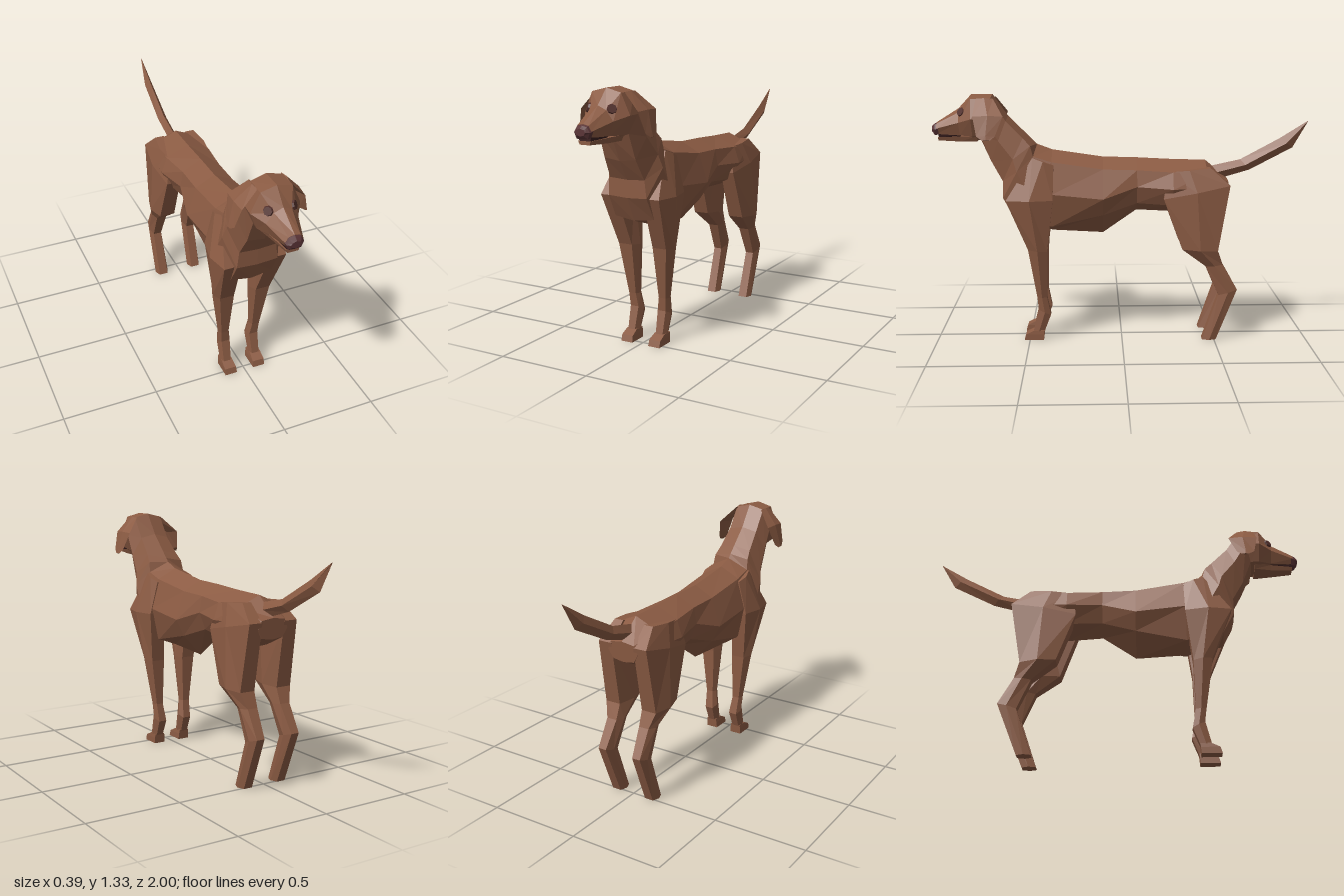
import * as THREE from 'three';

const coat = new THREE.MeshStandardMaterial({ name: 'brown coat', color: 0x8b5b43, flatShading: true });
const noseMat = new THREE.MeshStandardMaterial({ name: 'dark nose', color: 0x5a3436, flatShading: true });
const eyeMat = new THREE.MeshStandardMaterial({ name: 'dark eye', color: 0x54302c, flatShading: true });
const mouthMat = new THREE.MeshStandardMaterial({ name: 'mouth lining', color: 0x3c2120, flatShading: true });

// Skin a row of closed rings of [x, y, z] points, cap both ends, face outwards
function loft(name, rings, material) {
  const tris = [];
  const n = rings[0].length;
  for (let i = 0; i + 1 < rings.length; i++) {
    for (let j = 0; j < n; j++) {
      const k = (j + 1) % n;
      const [a, b, c, d] = [rings[i][j], rings[i][k], rings[i + 1][k], rings[i + 1][j]];
      tris.push([a, b, c], [a, c, d]);
    }
  }
  const cap = (ring, flip) => {
    const mid = [0, 1, 2].map(t => ring.reduce((s, p) => s + p[t], 0) / n);
    for (let j = 0; j < n; j++) {
      const a = ring[j], b = ring[(j + 1) % n];
      tris.push(flip ? [mid, b, a] : [mid, a, b]);
    }
  };
  cap(rings[0], true);
  cap(rings[rings.length - 1], false);
  let volume = 0;
  const v = tris.map(t => t.map(p => new THREE.Vector3(...p)));
  const ref = v[0][0];
  for (const [a, b, c] of v) {
    volume += a.clone().sub(ref).dot(b.clone().sub(ref).cross(c.clone().sub(ref)));
  }
  const points = v.flatMap(([a, b, c]) => (volume < 0 ? [a, c, b] : [a, b, c]));
  const geometry = new THREE.BufferGeometry().setFromPoints(points);
  geometry.computeVertexNormals();
  const mesh = new THREE.Mesh(geometry, material);
  mesh.name = name;
  return mesh;
}

// Eight-sided body ring: top and bottom z, top and bottom y, half width,
// half width and drop of the back edge, height of the belly edge
function bodyRing([zt, zb, yt, yb, w, wTop, yLow], drop) {
  const at = (x, y) => [x, y, THREE.MathUtils.lerp(zt, zb, (yt - y) / (yt - yb))];
  const half = [at(wTop, yt - drop), at(w, (yt + yb) / 2), at(w * 0.7, yLow)];
  const mirrored = half.map(([x, y, z]) => [-x, y, z]).reverse();
  return [at(0, yt), ...half, at(0, yb), ...mirrored];
}

// Six-sided leg ring: front height and z, back height and z, inner and outer x
function legRing([yf, zf, yb, zb, xi, xo]) {
  const mid = (xi + xo) / 2, w = (xo - xi) * 0.32;
  const ym = (yf + yb) / 2, zm = (zf + zb) / 2;
  return [
    [mid - w, yf, zf], [mid + w, yf, zf], [xo, ym, zm],
    [mid + w, yb, zb], [mid - w, yb, zb], [xi, ym, zm],
  ];
}

// Four-sided rings: flat bar across x, paw, ear flap and tail diamond
const barRing = ([z, w, top, bottom]) => [[w, top, z], [w * 0.8, bottom, z], [-w * 0.8, bottom, z], [-w, top, z]];
const pawRing = ([y, zf, zb, xi, xo]) => [[xi, y, zf], [xo, y, zf], [xo, y, zb], [xi, y, zb]];
function earRing([x, y, zb, zf, t]) {
  const zm = (zb + zf) / 2;
  return [[x, y, zb], [x + t * 0.3, y + t * 0.2, zm], [x, y, zf], [x - t, y - t * 0.5, zm]];
}
function tailRing([yu, zu, yl, zl, w]) {
  const y = (yu + yl) / 2, z = (zu + zl) / 2;
  return [[0, yu, zu], [w, y, z], [0, yl, zl], [-w, y, z]];
}

export function createModel() {
  const model = new THREE.Group();
  model.name = 'dog';
  const pair = (name, rings, material) => {
    for (const s of [1, -1]) {
      const side = s > 0 ? 'left ' : 'right ';
      model.add(loft(side + name, rings.map(r => r.map(([x, y, z]) => [s * x, y, z])), material));
    }
  };

  // Torso from rump to chest, then neck, skull and muzzle, as one skin
  const torso = [
    [-0.57, -0.56, 0.87, 0.76, 0.09, 0.07, 0.77],
    [-0.45, -0.45, 0.97, 0.71, 0.145, 0.125, 0.72],
    [-0.27, -0.27, 0.975, 0.69, 0.155, 0.125, 0.74],
    [-0.08, -0.08, 0.985, 0.7, 0.12, 0.105, 0.75],
    [0.1, 0.1, 0.99, 0.575, 0.155, 0.105, 0.69],
    [0.37, 0.37, 1.03, 0.59, 0.155, 0.11, 0.63],
    [0.45, 0.57, 1.06, 0.655, 0.16, 0.11, 0.67],
  ].map(row => bodyRing(row, row[0] < -0.5 ? 0.01 : 0.055));
  const neckAndHead = [
    [0.47, 0.63, 1.08, 0.78, 0.155, 0.105, 0.785],
    [0.51, 0.63, 1.12, 0.87, 0.14, 0.095, 0.875],
    [0.6, 0.69, 1.21, 0.97, 0.125, 0.085, 0.98],
    [0.68, 0.745, 1.325, 1.08, 0.12, 0.085, 1.11],
    [0.79, 0.78, 1.325, 1.08, 0.125, 0.08, 1.11],
    [0.86, 0.85, 1.25, 1.11, 0.08, 0.045, 1.112],
    [0.975, 0.975, 1.178, 1.115, 0.045, 0.03, 1.117],
  ].map(row => bodyRing(row, row[0] > 0.9 ? 0.006 : 0.02));
  model.add(loft('body and head', [...torso, ...neckAndHead], coat));

  // Lower jaw with the dark mouth line above it
  model.add(loft('lower jaw', [
    [0.76, 0.075, 1.11, 1.08], [0.85, 0.052, 1.105, 1.078], [0.968, 0.034, 1.1, 1.083],
  ].map(barRing), coat));
  model.add(loft('mouth', [[0.85, 0.05, 1.118, 1.1], [0.965, 0.035, 1.118, 1.095]].map(barRing), mouthMat));

  // Nose
  model.add(loft('nose', [
    [0.965, 0.965, 1.182, 1.112, 0.048, 0.03, 1.114],
    [0.985, 0.985, 1.172, 1.11, 0.043, 0.028, 1.112],
    [1.0, 1.0, 1.16, 1.125, 0.028, 0.02, 1.13],
  ].map(row => bodyRing(row, 0.006)), noseMat));

  // Eyes: thin discs lying on the sloping cheeks
  for (const s of [1, -1]) {
    const eye = new THREE.Mesh(new THREE.CylinderGeometry(0.021, 0.025, 0.009, 8), eyeMat);
    eye.name = s > 0 ? 'left eye' : 'right eye';
    const normal = new THREE.Vector3(0.7 * s, 0.335, 0.625).normalize();
    eye.quaternion.setFromUnitVectors(new THREE.Vector3(0, 1, 0), normal);
    eye.position.set(0.064 * s, 1.235, 0.84).addScaledVector(normal, 0.003);
    model.add(eye);
  }

  // Ears: thin flaps hanging outwards; rows give x, y, back z, front z, thickness
  pair('ear', [
    [0.08, 1.305, 0.67, 0.76, 0.02],
    [0.158, 1.22, 0.615, 0.77, 0.02],
    [0.184, 1.12, 0.655, 0.75, 0.018],
    [0.193, 1.1, 0.68, 0.72, 0.006],
  ].map(earRing), coat);

  // Front legs, shoulder to wrist
  pair('front leg', [
    [1.0, 0.47, 0.96, 0.36, 0.06, 0.135],
    [0.78, 0.61, 0.78, 0.365, 0.05, 0.192],
    [0.51, 0.5, 0.5, 0.4, 0.04, 0.16],
    [0.24, 0.457, 0.24, 0.405, 0.058, 0.12],
    [0.17, 0.45, 0.14, 0.385, 0.045, 0.118],
    [0.05, 0.48, 0.05, 0.42, 0.052, 0.114],
  ].map(legRing), coat);
  pair('front paw', [
    [0.055, 0.475, 0.42, 0.054, 0.112],
    [0.033, 0.52, 0.422, 0.05, 0.114],
    [0, 0.53, 0.425, 0.048, 0.114],
  ].map(pawRing), coat);

  // Hind legs, haunch to hock to paw
  pair('hind leg', [
    [0.92, -0.24, 0.94, -0.47, 0.05, 0.13],
    [0.78, -0.22, 0.85, -0.57, 0.045, 0.165],
    [0.51, -0.32, 0.5, -0.51, 0.045, 0.178],
    [0.41, -0.45, 0.42, -0.54, 0.055, 0.145],
    [0.25, -0.52, 0.28, -0.62, 0.07, 0.142],
    [0, -0.435, 0, -0.51, 0.065, 0.142],
  ].map(legRing), coat);

  // Tail: rows give upper y and z, lower y and z, half width
  model.add(loft('tail', [
    [0.935, -0.47, 0.86, -0.5, 0.025],
    [0.972, -0.64, 0.915, -0.69, 0.025],
    [1.085, -0.85, 1.035, -0.92, 0.022],
    [1.178, -1.0, 1.174, -1.0, 0.002],
  ].map(tailRing), coat));

  return model;
}
